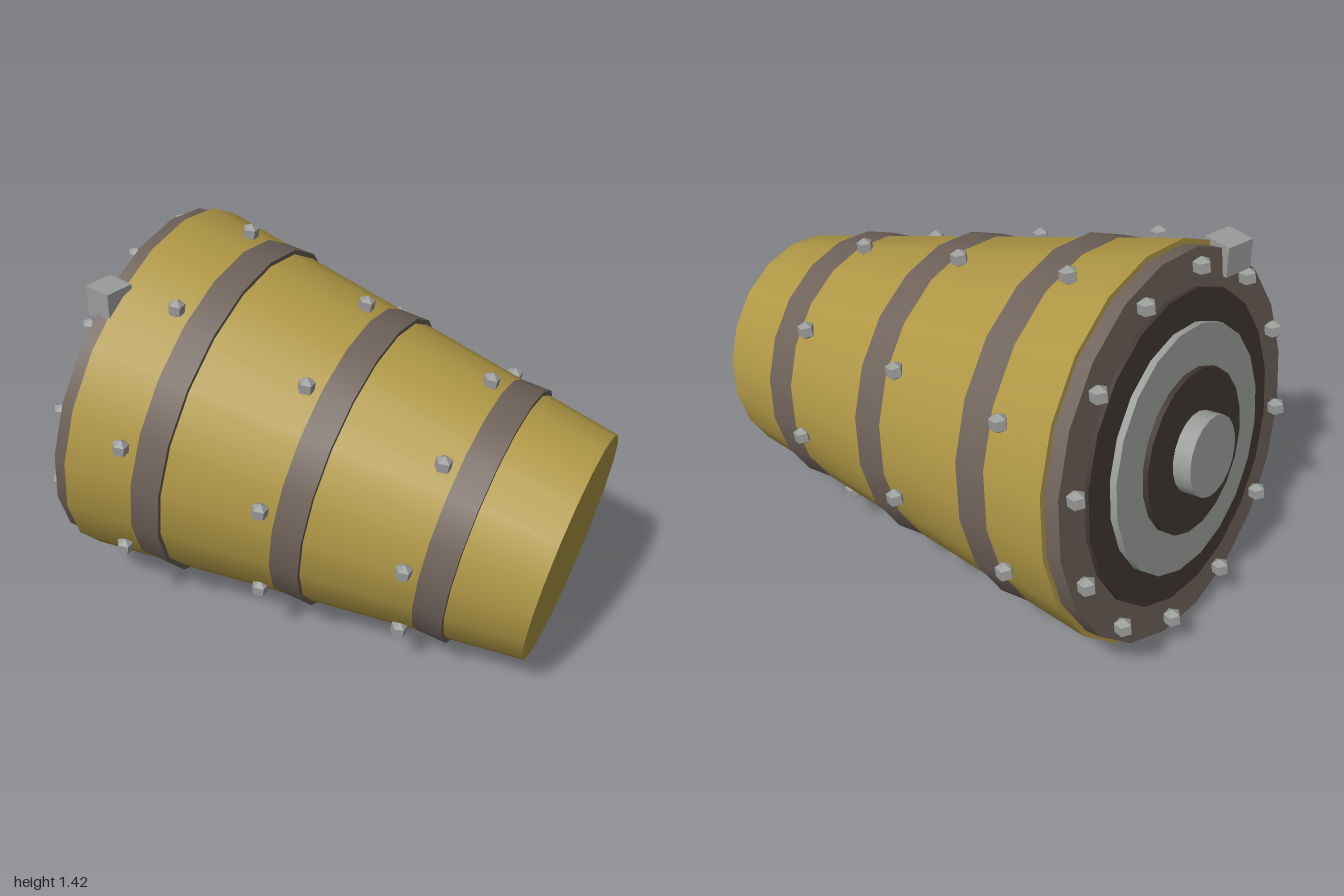
import * as THREE from 'three';

const mat = (name, color) => {
  const m = new THREE.MeshStandardMaterial({ color });
  m.name = name;
  return m;
};

export function createModel() {
  const wood = mat('ochre', 0xb09845);
  const iron = mat('brown', 0x6e6259);
  const dark = mat('dark brown', 0x3f3732);
  const steel = mat('grey', 0x9a9c9a);

  const model = new THREE.Group();
  // Tilted frame: local x runs along the barrel from wide end to narrow end
  const barrel = new THREE.Group();
  barrel.name = 'barrel';
  barrel.position.set(-0.725, 0.715, 0.087);
  barrel.rotation.set(0, 0.256, -0.153, 'YZX');
  model.add(barrel);

  const LENGTH = 1.683, WIDE = 0.693, NARROW = 0.435;
  const radiusAt = (t) => WIDE + (NARROW - WIDE) * t / LENGTH;

  // Round part between two stations on the barrel axis
  const round = (name, material, t0, t1, r0, r1 = r0, sides = 20) => {
    const g = new THREE.CylinderGeometry(r1, r0, t1 - t0, sides);
    g.rotateZ(-Math.PI / 2).rotateX(-0.04).translate((t0 + t1) / 2, 0, 0);
    const m = new THREE.Mesh(g, material);
    m.name = name;
    barrel.add(m);
  };

  // Evenly spaced rivets in a ring round the axis, angle measured from the top
  const rivetGeo = new THREE.SphereGeometry(0.035, 5, 3).toNonIndexed();
  rivetGeo.computeVertexNormals();
  const rivets = (name, t, r, count, phase) => {
    const ring = new THREE.Group();
    ring.name = name;
    for (let i = 0; i < count; i++) {
      const a = phase + i * Math.PI * 2 / count;
      const m = new THREE.Mesh(rivetGeo, steel);
      m.name = 'rivet';
      m.position.set(t, r * Math.cos(a), r * Math.sin(a));
      ring.add(m);
    }
    barrel.add(ring);
  };

  round('body', wood, 0, LENGTH, WIDE, NARROW);

  // Hoops with their rivets
  for (let i = 0; i < 3; i++) {
    const t = 0.2 + i * 0.52;
    round('hoop', iron, t, t + 0.163, radiusAt(t + 0.05));
    rivets('hoopRivets', t, radiusAt(t) + 0.013, 8, THREE.MathUtils.degToRad(-14.5 + i * 5));
  }

  // Stepped plates on the wide end
  round('rim', iron, -0.054, 0.01, 0.675);
  round('facePlate', dark, -0.07, -0.04, 0.545);
  round('faceRing', steel, -0.095, -0.05, 0.432);
  round('innerPlate', dark, -0.115, -0.06, 0.287);
  round('hub', steel, -0.18, -0.08, 0.141);
  rivets('rimBolts', -0.08, 0.617, 12, Math.PI / 12);

  // Square block on the rim, level with the ground
  const block = new THREE.Mesh(new THREE.BoxGeometry(0.11, 0.11, 0.11), steel);
  block.name = 'rimBlock';
  block.position.set(-0.585, 1.257, 0.447);
  model.add(block);

  return model;
}
